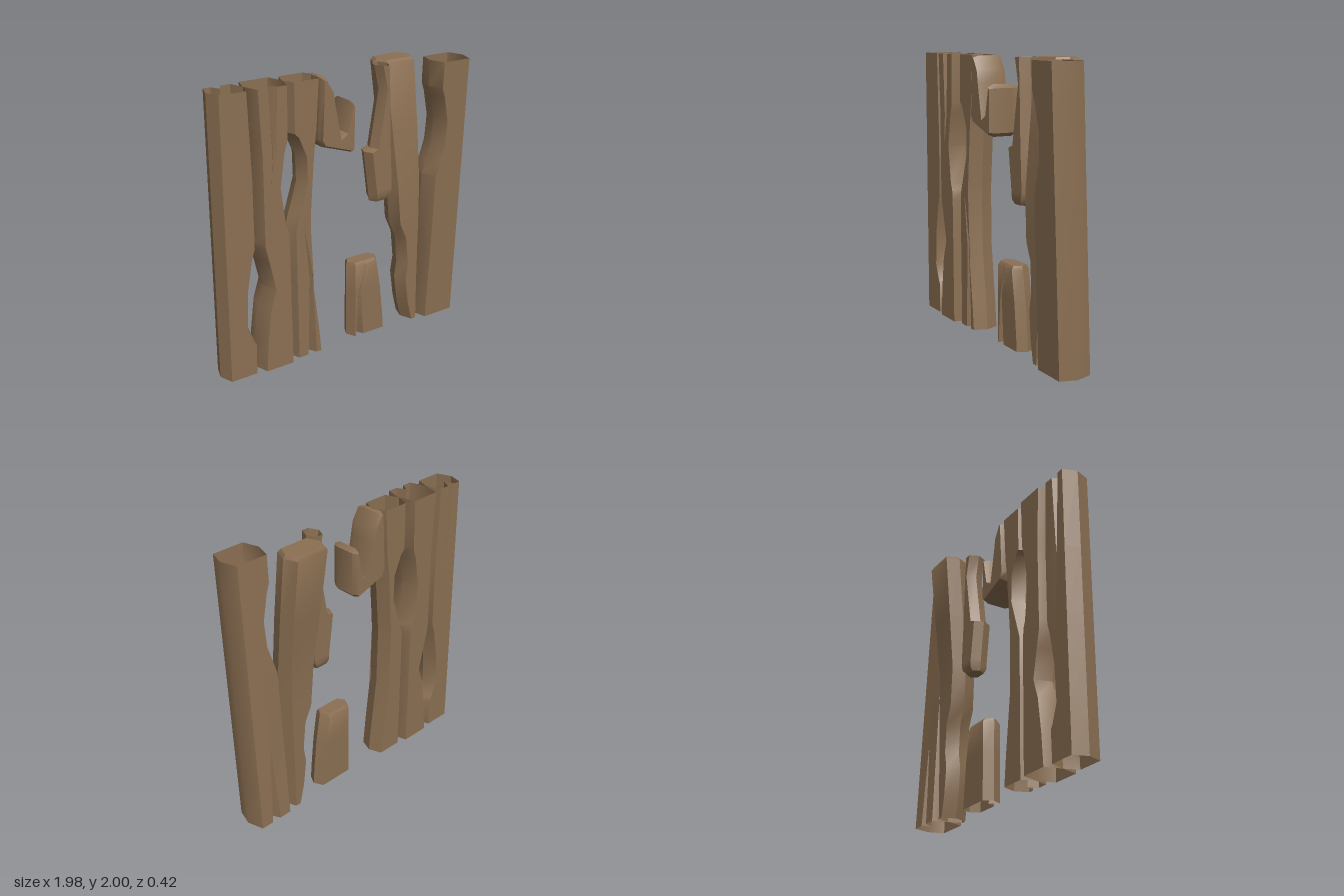
import * as THREE from 'three';
import { toCreasedNormals } from 'three/addons/utils/BufferGeometryUtils.js';

const CREASE = 0.6;

// Hollow plank: rows are [y, left x, right x, depth scale] from the bottom up.
// zAt(y) gives [back, front]; crack is { front, x, y, len }, a groove fading away from height y.
function plankGeometry({ rows, zAt, bevel = 0.035, crack, capTop, capBottom }) {
  const pos = [], index = [];
  for (const [y, xl, xr, depth = 1] of rows) {
    const [zb0, zf0] = zAt(y);
    const zm = (zb0 + zf0) / 2;
    const zb = zm + (zb0 - zm) * depth, zf = zm + (zf0 - zm) * depth;
    const face = (front) => {
      const z = front ? zf : zb;
      const open = crack && crack.front === front ? Math.max(0, 1 - Math.abs(y - crack.y) / crack.len) : 0;
      const c = open > 0 ? crack.x : (xl + xr) / 2;
      const w = 0.006 + 0.028 * open;
      const inner = z + (front ? -1 : 1) * 0.065 * open;
      const pts = [[xl + bevel, z], [c - w, z], [c, inner], [c + w, z], [xr - bevel, z]];
      return front ? pts : pts.reverse();
    };
    const ring = [...face(true), [xr, zm], ...face(false), [xl, zm]];
    for (const [x, z] of ring) pos.push(x, y, z);
  }
  const n = 12, last = rows.length - 1;
  for (let r = 0; r < last; r++) {
    for (let j = 0; j < n; j++) {
      const a = r * n + j, b = r * n + (j + 1) % n;
      index.push(a, b, b + n, a, b + n, a + n);
    }
  }
  const cap = (r, up) => {
    const [y, xl, xr] = rows[r], z = zAt(y), c = pos.length / 3;
    pos.push((xl + xr) / 2, y, (z[0] + z[1]) / 2);
    for (let j = 0; j < n; j++) {
      const a = r * n + j, b = r * n + (j + 1) % n;
      index.push(...(up ? [a, b, c] : [b, a, c]));
    }
  };
  if (capTop) cap(last, true);
  if (capBottom) cap(0, false);
  const g = new THREE.BufferGeometry();
  g.setAttribute('position', new THREE.Float32BufferAttribute(pos, 3));
  g.setIndex(index);
  return toCreasedNormals(g, CREASE);
}

const straight = (back, front) => () => [back, front];
const lerp = THREE.MathUtils.lerp;

export function createModel() {
  const group = new THREE.Group();
  const wood = new THREE.MeshStandardMaterial({ color: 0x8c7053, side: THREE.DoubleSide });
  wood.name = 'weathered wood';

  const planks = {
    outerRightPlank: {
      zAt: straight(-0.095, 0.11),
      crack: { front: false, x: -0.87, y: 1.99, len: 0.6 },
      rows: [[0, -0.99, -0.725], [0.22, -0.99, -0.72], [0.25, -0.99, -0.74], [0.37, -0.99, -0.785],
        [0.62, -0.99, -0.775], [0.85, -0.99, -0.735], [0.93, -0.99, -0.71], [1.4, -0.99, -0.71], [1.99, -0.99, -0.73]],
    },
    middleRightPlank: {
      zAt: straight(-0.11, 0.13),
      crack: { front: true, x: -0.59, y: 1.99, len: 0.6 },
      rows: [[0, -0.725, -0.445], [0.22, -0.71, -0.446], [0.46, -0.68, -0.45], [0.6, -0.635, -0.45],
        [0.8, -0.68, -0.452], [0.93, -0.71, -0.455], [1.0, -0.71, -0.46], [1.05, -0.71, -0.48], [1.32, -0.71, -0.515],
        [1.55, -0.71, -0.48], [1.63, -0.715, -0.455], [1.99, -0.73, -0.45]],
    },
    innerRightPlank: {
      zAt: straight(-0.09, 0.1),
      crack: { front: true, x: -0.3, y: 0, len: 0.9 },
      rows: [[0, -0.445, -0.19], [0.2, -0.446, -0.21], [0.6, -0.45, -0.26], [0.98, -0.452, -0.268],
        [1.08, -0.42, -0.265], [1.29, -0.355, -0.25], [1.48, -0.36, -0.235], [1.62, -0.42, -0.22],
        [1.65, -0.45, -0.215], [1.99, -0.45, -0.195]],
    },
    brokenStump: {
      zAt: straight(-0.06, 0.075), capTop: true,
      crack: { front: true, x: 0.13, y: 0, len: 0.4 },
      rows: [[0, 0.055, 0.38], [0.12, 0.055, 0.37], [0.35, 0.055, 0.345], [0.56, 0.055, 0.31], [0.585, 0.06, 0.305, 0.75]],
    },
    hangingSplinter: {
      zAt: straight(-0.06, 0.075), capBottom: true, bevel: 0.03,
      rows: [[1.015, 0.25, 0.39, 0.7], [1.05, 0.245, 0.415], [1.1, 0.24, 0.43], [1.39, 0.2, 0.415],
        [1.41, 0.25, 0.413], [1.82, 0.32, 0.4], [1.99, 0.28, 0.39]],
    },
    leaningPlank: {
      // Upright below, tipping backwards over the upper half
      zAt: (y) => {
        const t = Math.max(0, (y - 1.1) / 0.9);
        return [lerp(-0.09, -0.105, Math.min(1, y / 1.1)) - 0.105 * t, lerp(0.1, 0.08, Math.min(1, y / 1.1)) - 0.1 * t];
      },
      capTop: true,
      rows: [[0, 0.56, 0.67], [0.15, 0.525, 0.67], [0.35, 0.5, 0.672], [0.47, 0.52, 0.674], [0.68, 0.5, 0.677],
        [0.8, 0.445, 0.68], [1.1, 0.42, 0.682], [1.5, 0.395, 0.685], [1.97, 0.37, 0.68], [1.995, 0.39, 0.665, 0.85]],
    },
    outerLeftPlank: {
      // Tipping forwards
      zAt: (y) => [lerp(-0.105, -0.02, y / 2), lerp(0.13, 0.21, y / 2)],
      crack: { front: false, x: 0.83, y: 0, len: 0.6 },
      rows: [[0, 0.67, 0.99], [0.3, 0.675, 0.99], [0.6, 0.68, 0.99], [1.15, 0.685, 0.99], [1.25, 0.715, 0.99],
        [1.37, 0.75, 0.99], [1.55, 0.76, 0.99], [1.73, 0.72, 0.99], [1.8, 0.695, 0.99], [1.985, 0.695, 0.99]],
    },
  };
  for (const [name, spec] of Object.entries(planks)) {
    const mesh = new THREE.Mesh(plankGeometry(spec), wood);
    mesh.name = name;
    group.add(mesh);
  }

  // Hooked fragment still attached to the inner right plank
  const outline = [[-0.2, 1.98], [-0.175, 1.98], [-0.12, 1.89], [-0.105, 1.8], [-0.06, 1.56], [-0.015, 1.59],
    [0.03, 1.79], [0.05, 1.77], [0.05, 1.47], [0.03, 1.45], [-0.195, 1.525], [-0.22, 1.57]];
  const shape = new THREE.Shape(outline.map(([x, y]) => new THREE.Vector2(x, y)));
  const fragment = new THREE.ExtrudeGeometry(shape, {
    depth: 0.14, bevelEnabled: true, bevelThickness: 0.04, bevelSize: 0.015, bevelOffset: -0.008, bevelSegments: 1,
  });
  fragment.translate(0, 0, -0.06);
  const hook = new THREE.Mesh(toCreasedNormals(fragment, CREASE), wood);
  hook.name = 'brokenFragment';
  group.add(hook);

  return group;
}
